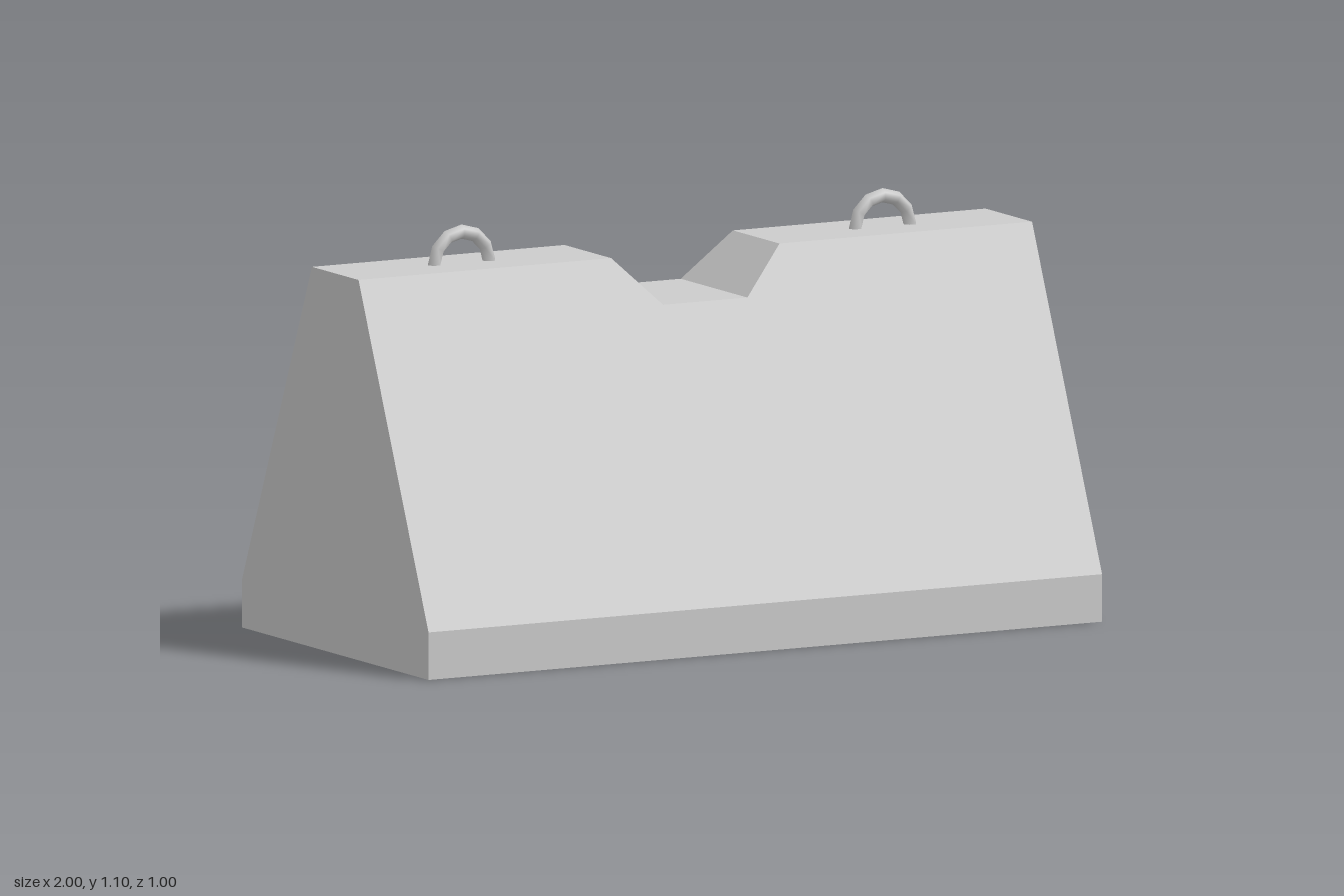
import * as THREE from 'three';

const BASE_H = 0.125, HALF_DEPTH = 0.5, TOP_HALF_DEPTH = 0.125;

export function createModel() {
  const group = new THREE.Group();
  const flat = new THREE.MeshStandardMaterial({ color: 0xcccccc, flatShading: true });
  const smooth = new THREE.MeshStandardMaterial({ color: 0xcccccc });

  const add = (name, geometry, material, x = 0, y = 0) => {
    const mesh = new THREE.Mesh(geometry, material);
    mesh.name = name;
    mesh.position.set(x, y, 0);
    group.add(mesh);
  };

  // Upright plinth
  add('base', new THREE.BoxGeometry(2, BASE_H, 2 * HALF_DEPTH), flat, 0, BASE_H / 2);

  // Notched front profile, extruded and then tapered in depth towards the top
  const profile = new THREE.Shape([
    [-1, BASE_H], [1, BASE_H], [1, 1], [0.25, 1],
    [0.125, 0.875], [-0.125, 0.875], [-0.25, 1], [-1, 1],
  ].map(([x, y]) => new THREE.Vector2(x, y)));
  const body = new THREE.ExtrudeGeometry(profile, { depth: 1, bevelEnabled: false });
  const pos = body.attributes.position;
  for (let i = 0; i < pos.count; i++) {
    const t = (pos.getY(i) - BASE_H) / (1 - BASE_H);
    const half = THREE.MathUtils.lerp(HALF_DEPTH, TOP_HALF_DEPTH, t);
    pos.setZ(i, (pos.getZ(i) * 2 - 1) * half);
  }
  body.computeVertexNormals();
  add('taperedBody', body, flat);

  // Half-ring lifting loops on the top
  for (const side of [-1, 1]) {
    const loop = new THREE.TorusGeometry(0.08125, 0.01875, 6, 6, Math.PI);
    add(side > 0 ? 'leftLiftingLoop' : 'rightLiftingLoop', loop, smooth, side * 0.625, 1);
  }
  return group;
}
